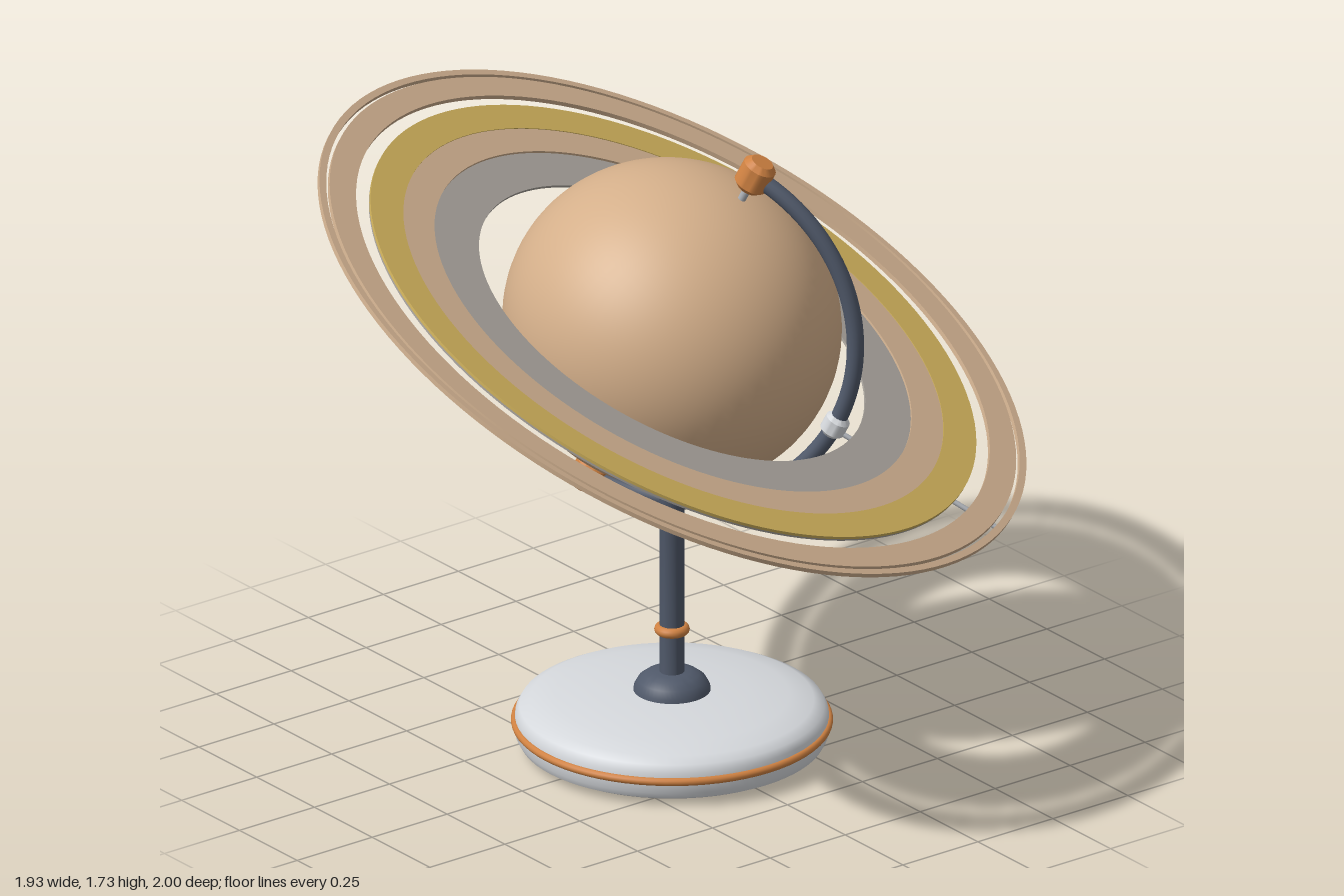
import * as THREE from 'three';
import { toCreasedNormals } from 'three/addons/utils/BufferGeometryUtils.js';

const mat = (name, color) => {
  const m = new THREE.MeshStandardMaterial({ color });
  m.name = name;
  return m;
};

export function createModel() {
  const model = new THREE.Group();
  model.name = 'ringedPlanetOnStand';

  const globeTan = mat('globe tan', 0xd4af8a);
  const ringTan = mat('ring tan', 0xcaab8b);
  const gold = mat('ring gold', 0xc8ab58);
  const ringGrey = mat('ring grey', 0xa39e97);
  const steel = mat('blue steel', 0x50596a);
  const copper = mat('copper', 0xd08242);
  const white = mat('base white', 0xd5d8dc);
  const silver = mat('silver', 0xa9adb3);

  const add = (parent, name, geometry, material, x = 0, y = 0, z = 0) => {
    const mesh = new THREE.Mesh(geometry, material);
    mesh.name = name;
    mesh.position.set(x, y, z);
    parent.add(mesh);
    return mesh;
  };
  // Turned part from [radius, height] pairs, bottom to top
  const turned = (profile, segments = 48, crease = 0.6) =>
    toCreasedNormals(
      new THREE.LatheGeometry(profile.map(([r, y]) => new THREE.Vector2(r, y)), segments), crease);
  // Flat annulus with thickness
  const band = (inner, outer, low, high) =>
    turned([[inner, low], [outer, low], [outer, high], [inner, high], [inner, low]], 128);
  // Cylinder with chamfered rims, centred on its own origin
  const chamfered = (r, h, c) =>
    turned([[0, -h / 2], [r - c, -h / 2], [r, -h / 2 + c], [r, h / 2 - c], [r - c, h / 2], [0, h / 2]], 32);
  const hoop = (r, tube) => new THREE.TorusGeometry(r, tube, 12, 72).rotateX(Math.PI / 2);

  // Base
  const base = new THREE.Group();
  base.name = 'base';
  model.add(base);
  add(base, 'baseBody', turned([
    [0, 0.013], [0.385, 0.013], [0.405, 0.023], [0.414, 0.04], [0.416, 0.072], [0.414, 0.098],
    [0.403, 0.117], [0.375, 0.131], [0.31, 0.145], [0.2, 0.157], [0.1, 0.162], [0, 0.163]], 72), white);
  add(base, 'baseTrim', hoop(0.415, 0.011), copper, 0, 0.074);
  for (let i = 0; i < 8; i++) {
    const a = (i + 0.5) * Math.PI / 4;
    add(base, 'foot', new THREE.CylinderGeometry(0.015, 0.015, 0.02, 16), silver,
      0.335 * Math.cos(a), 0.01, 0.335 * Math.sin(a));
  }

  // Column
  const column = new THREE.Group();
  column.name = 'column';
  model.add(column);
  add(column, 'columnHub', turned([
    [0.103, 0.155], [0.101, 0.172], [0.09, 0.192], [0.072, 0.206], [0.05, 0.214], [0, 0.214]]), steel);
  add(column, 'columnPost', turned([
    [0.033, 0.2], [0.033, 0.69], [0.037, 0.705], [0.037, 0.725], [0.028, 0.738], [0, 0.74]], 32), steel);
  add(column, 'columnCollar', hoop(0.033, 0.014), copper, 0, 0.335);

  // Everything below shares the tilted axis
  const heading = new THREE.Group();
  heading.name = 'tiltedAssembly';
  heading.position.y = 1.215;
  heading.rotation.y = THREE.MathUtils.degToRad(35);
  model.add(heading);
  const tilt = new THREE.Group();
  tilt.name = 'tiltAxis';
  tilt.rotation.z = THREE.MathUtils.degToRad(-26.7);
  heading.add(tilt);

  // Slightly flattened globe
  add(tilt, 'globe', new THREE.SphereGeometry(0.453, 72, 48).scale(1, 0.95, 1), globeTan);

  // Rings: a grey plate carrying raised bands, then two separate outer rings
  const rings = new THREE.Group();
  rings.name = 'rings';
  tilt.add(rings);
  add(rings, 'innerPlate', band(0.565, 0.884, -0.006, 0.001), ringGrey);
  add(rings, 'middleBand', band(0.698, 0.79, 0.001, 0.007), ringTan);
  add(rings, 'goldBand', band(0.79, 0.886, 0.001, 0.009), gold);
  add(rings, 'outerRing', band(0.927, 1.004, -0.006, 0.006), ringTan);
  add(rings, 'rimRing', band(1.014, 1.034, -0.006, 0.006), ringTan);

  // Half-circle arm with pivots at both poles
  const armRadius = 0.508;
  add(tilt, 'arm', new THREE.TorusGeometry(armRadius, 0.023, 16, 80, Math.PI).rotateZ(-Math.PI / 2), steel);
  for (const s of [1, -1]) {
    add(tilt, 'pivotKnob', chamfered(0.046, 0.09, 0.015), copper, 0, s * 0.513);
    add(tilt, 'pivotPin', new THREE.CylinderGeometry(0.011, 0.011, 0.09, 16), silver, 0, s * 0.455);
  }

  // Clamp on the arm and the rod under the rings
  add(tilt, 'ringClamp', chamfered(0.034, 0.062, 0.012), white, armRadius, -0.005);
  add(tilt, 'ringStrut', new THREE.CylinderGeometry(0.007, 0.007, 0.505, 12).rotateZ(Math.PI / 2),
    silver, 0.762, -0.017);

  return model;
}
